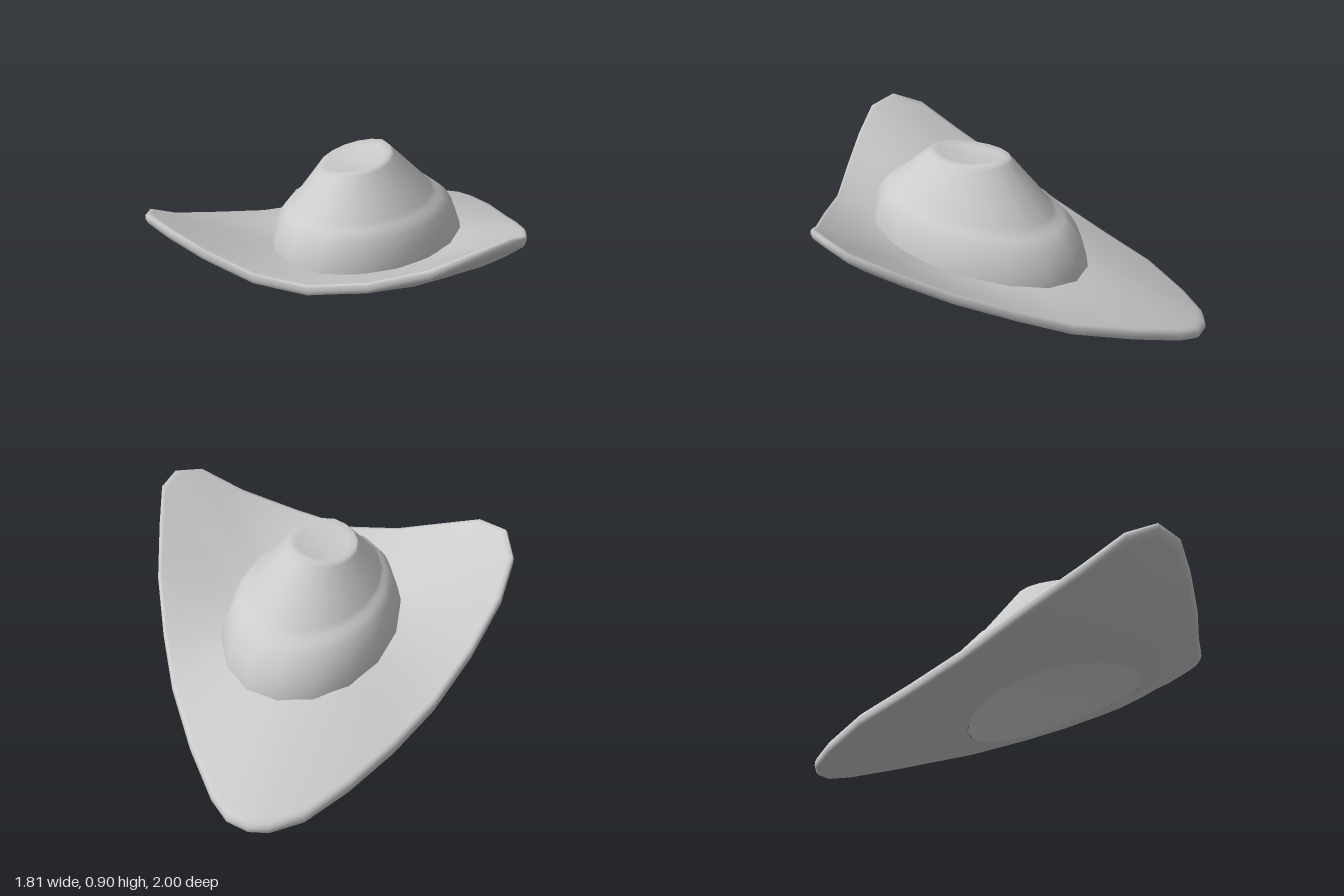
import * as THREE from 'three';

const felt = new THREE.MeshStandardMaterial({ color: 0xcccccc });
felt.name = 'grey felt';

// tilted plane of the bowl-shaped underside, and the flatter one the crown stands on
const underPlane = (x, z) => 0.29 + 0.16 * (x + 0.08) + 0.24 * (z - 0.15);
const topPlane = (x, z) => 0.442 + 0.05 * (x + 0.08) + 0.135 * (z - 0.14);

// skin a list of closed rings (arrays of Vector3) into a smooth surface
function skin(name, rings, capFirst, capLast) {
  const n = rings[0].length;
  const pos = [], index = [];
  rings.forEach(r => r.forEach(p => pos.push(p.x, p.y, p.z)));
  for (let j = 0; j < rings.length - 1; j++) {
    for (let i = 0; i < n; i++) {
      const k = (i + 1) % n;
      const a = j * n + i, b = a + n, c = j * n + k, d = c + n;
      index.push(a, b, c, c, b, d);
    }
  }
  const cap = (p, row, first) => {
    const id = pos.length / 3;
    pos.push(p.x, p.y, p.z);
    for (let i = 0; i < n; i++) {
      const a = row * n + i, c = row * n + (i + 1) % n;
      index.push(...(first ? [id, a, c] : [a, id, c]));
    }
  };
  if (capFirst) cap(capFirst, 0, true);
  if (capLast) cap(capLast, rings.length - 1, false);
  const geo = new THREE.BufferGeometry();
  geo.setAttribute('position', new THREE.Float32BufferAttribute(pos, 3));
  geo.setIndex(index);
  geo.computeVertexNormals();
  const mesh = new THREE.Mesh(geo, felt);
  mesh.name = name;
  return mesh;
}

// ellipse ring; y is given by a function of x and z
function ellipse(n, cx, cz, rx, rz, yAt) {
  return Array.from({ length: n }, (_, i) => {
    const a = ((i + 0.5) / n) * Math.PI * 2;
    const x = cx + rx * Math.cos(a), z = cz + rz * Math.sin(a);
    return new THREE.Vector3(x, yAt(x, z), z);
  });
}

// three-cornered brim edge: x, y, z
const RIM = [
  [-0.2, 0.05, -1], [-0.09, 0.09, -0.94], [0.12, 0.19, -0.76], [0.35, 0.31, -0.52],
  [0.52, 0.44, -0.3], [0.69, 0.585, -0.05], [0.82, 0.73, 0.2], [0.905, 0.84, 0.38],
  [0.89, 0.88, 0.49], [0.8, 0.855, 0.61], [0.6, 0.73, 0.7], [0.33, 0.625, 0.8],
  [0.05, 0.555, 0.87], [-0.2, 0.575, 0.94], [-0.45, 0.65, 0.985], [-0.64, 0.715, 1],
  [-0.8, 0.72, 0.95], [-0.89, 0.65, 0.82], [-0.907, 0.52, 0.62], [-0.88, 0.38, 0.32],
  [-0.82, 0.245, 0], [-0.74, 0.16, -0.3], [-0.64, 0.1, -0.6], [-0.52, 0.04, -0.83],
  [-0.4, 0.027, -0.96], [-0.31, 0.03, -1],
].map(p => new THREE.Vector3(...p));

// head opening: an ellipse whose sides curl up a little
const HOLE = { x: -0.065, z: 0.165, rx: 0.365, rz: 0.435 };
const holeY = (x, z) => {
  const u = (x - HOLE.x) / HOLE.rx;
  return underPlane(x, z) - 0.013 + 0.045 * u * u - 0.015 * u;
};

function makeBrim() {
  // ring at fraction t from opening to edge; yAt gets the point, the edge point and the curl
  const ring = (t, yAt) => RIM.map(p => {
    const a = Math.atan2((p.z - HOLE.z) / HOLE.rz, (p.x - HOLE.x) / HOLE.rx);
    const hx = HOLE.x + HOLE.rx * Math.cos(a), hz = HOLE.z + HOLE.rz * Math.sin(a);
    const x = THREE.MathUtils.lerp(hx, p.x, t), z = THREE.MathUtils.lerp(hz, p.z, t);
    const curl = (holeY(hx, hz) - underPlane(hx, hz)) * (1 - t);
    return new THREE.Vector3(x, yAt(x, z, p, curl), z);
  });
  const under = t => ring(t, (x, z, p, curl) => underPlane(x, z) + curl
    + (p.y - 0.026 - underPlane(p.x, p.z)) * t ** 1.65);
  const upper = t => ring(t, (x, z, p) => topPlane(x, z)
    + (p.y + 0.026 - topPlane(p.x, p.z)) * t ** 1.25);
  const lip = offset => ring(1, (x, z, p) => p.y + offset);
  // underside outward, rounded lip, top side inward
  return skin('brim', [
    ...[0, 0.2, 0.4, 0.6, 0.8, 0.95, 0.985].map(under),
    lip(-0.01), lip(0.01),
    ...[0.985, 0.95, 0.8, 0.6, 0.4, 0.2, 0].map(upper),
  ]);
}

const TOP = { x: -0.11, z: 0.2 };
const topY = x => Math.min(0.905, 0.895 + 0.22 * (x - TOP.x));

// crown: sloping band with a rounded shoulder, straight cone, dented top
function makeCrown() {
  const n = 16;
  const rings = [[1, -0.03], [0.985, 0.04], [0.94, 0.11], [0.88, 0.165], [0.82, 0.2], [0.765, 0.213]]
    .map(([s, h]) => ellipse(n, -0.083, 0.14 + (1 - s) * 0.12, 0.424 * s, 0.562 * s,
      (x, z) => topPlane(x, z) + h));
  const shoulder = rings[rings.length - 1];
  const top = ellipse(n, TOP.x, TOP.z, 0.16, 0.2, topY);
  for (const t of [0.1, 0.5, 0.93]) {
    rings.push(shoulder.map((p, i) => p.clone().lerp(top[i], t)));
  }
  rings.push(top, ellipse(n, TOP.x, TOP.z, 0.125, 0.16, x => topY(x) - 0.01));
  return skin('crown', rings, null, new THREE.Vector3(TOP.x, 0.86, TOP.z));
}

// shallow domed hollow for the head, facing inward
function makeLining() {
  const n = RIM.length;
  const hole = ellipse(n, HOLE.x, HOLE.z, HOLE.rx, HOLE.rz, holeY);
  const apex = new THREE.Vector3(-0.1, 0.66, 0.18);
  const rings = [0.2, 0.4, 0.6, 0.8, 1].map(t => hole.map(p => {
    const q = apex.clone().lerp(p, t);
    q.y += 0.05 * Math.sin(Math.PI * t);
    return q;
  }));
  return skin('lining', rings, apex, null);
}

export function createModel() {
  const hat = new THREE.Group();
  hat.name = 'hat';
  hat.add(makeBrim(), makeCrown(), makeLining());
  return hat;
}
